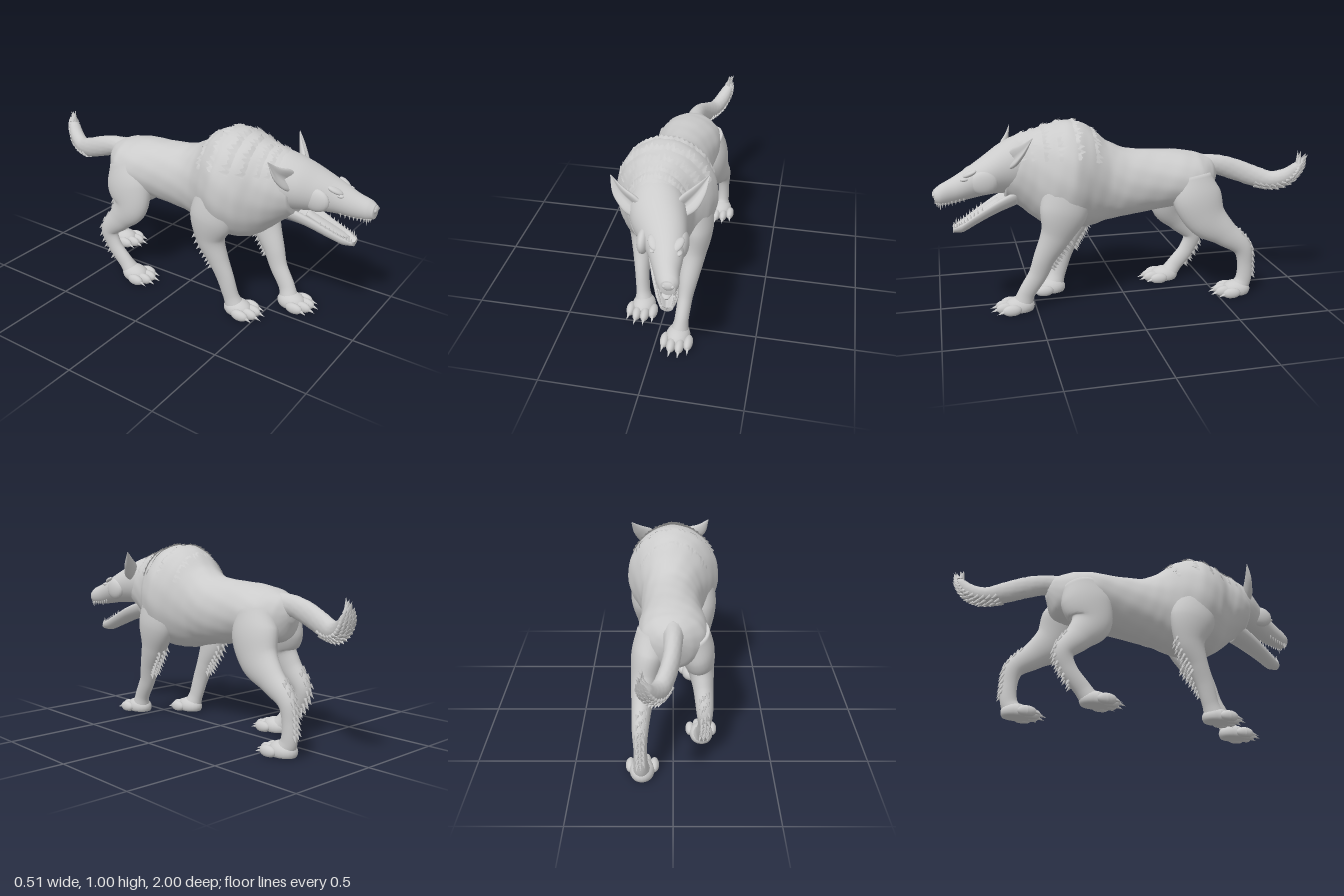
import * as THREE from 'three';

const V = (x, y, z) => new THREE.Vector3(x, y, z);
const X = V(1, 0, 0), Y = V(0, 1, 0), Z = V(0, 0, 1);
const mat = new THREE.MeshStandardMaterial({ color: 0xcccccc, side: THREE.DoubleSide });

// Surface evaluator through sections [x, y, z, halfWidth, halfHeight].
// up: direction of the height axis; dir: fixed section normal; trough: hollow upper half.
function limb(sections, up, { dir = null, trough = false, bump = 0 } = {}) {
  const path = new THREE.CatmullRomCurve3(sections.map(s => V(s[0], s[1], s[2])));
  const size = new THREE.CatmullRomCurve3(sections.map(s => V(s[3], s[4], 0)));
  return (t, a, scale = 1) => {
    const c = path.getPoint(t), r = size.getPoint(t);
    const n = dir ? dir.clone() : path.getTangent(t);
    const v = up.clone().addScaledVector(n, -up.dot(n)).normalize();
    const u = v.clone().cross(n);
    const cs = Math.cos(a), sn = Math.sin(a);
    const h = trough && sn > 0 ? 1.2 * sn * (Math.abs(cs) - 0.45) : sn;
    const k = scale * (1 + bump * Math.sin(a * 9 + t * 31) * Math.sin(t * 67 - a * 4));
    return c.addScaledVector(u, r.x * cs * k).addScaledVector(v, r.y * h * k);
  };
}

// Closed skin over an evaluator
function skin(f, rings = 40, sides = 32) {
  const pos = [], idx = [];
  for (let i = -1; i <= rings + 1; i++) {
    const t = Math.min(1, Math.max(0, i / rings));
    const s = i < 0 || i > rings ? 0 : 1;
    for (let j = 0; j < sides; j++) pos.push(...f(t, j / sides * Math.PI * 2, s).toArray());
  }
  for (let i = 0; i < rings + 2; i++) for (let j = 0; j < sides; j++) {
    const a = i * sides + j, b = i * sides + (j + 1) % sides;
    idx.push(a, b, b + sides, a, b + sides, a + sides);
  }
  const g = new THREE.BufferGeometry();
  g.setAttribute('position', new THREE.Float32BufferAttribute(pos, 3));
  g.setIndex(idx);
  g.computeVertexNormals();
  return g;
}

function add(parent, name, geometry) {
  const m = new THREE.Mesh(geometry, mat);
  m.name = name;
  parent.add(m);
  return m;
}

function ball(parent, name, p, r) {
  const m = add(parent, name, new THREE.SphereGeometry(1, 20, 14));
  m.position.set(...p);
  m.scale.set(...r);
  return m;
}

// Pointed spike used for teeth, claws and fur
function spike(parent, name, p, d, len, r) {
  const g = new THREE.ConeGeometry(r, len, 7);
  g.translate(0, len * 0.4, 0);
  const m = add(parent, name, g);
  m.position.copy(p);
  m.quaternion.setFromUnitVectors(Y, d.clone().normalize());
  return m;
}

function makePaw(name, x, z) {
  const paw = new THREE.Group();
  paw.name = name;
  paw.position.set(x, 0, z);
  const lump = (part, p, r) => {
    const g = new THREE.SphereGeometry(1, 20, 14);
    g.scale(...r).translate(...p);
    const a = g.attributes.position;
    for (let i = 0; i < a.count; i++) a.setY(i, Math.max(0, a.getY(i)));
    g.computeVertexNormals();
    add(paw, part, g);
  };
  lump('palm', [0, 0.025, 0], [0.062, 0.052, 0.08]);
  [-0.06, -0.021, 0.021, 0.06].forEach((tx, i) => {
    const tz = i % 3 ? 0.075 : 0.045;
    lump('toe', [tx, 0.024, tz], [0.024, 0.03, 0.05]);
    spike(paw, 'claw', V(tx * 1.05, 0.022, tz + 0.04), V(tx * 2, -0.3, 1), 0.045, 0.011);
  });
  return paw;
}

export function createModel() {
  const wolf = new THREE.Group();
  wolf.name = 'wolf';

  // Torso from rump to neck
  const torso = [
    [0, 0.67, -0.52, 0.03, 0.04], [0, 0.645, -0.48, 0.10, 0.11], [0, 0.645, -0.4, 0.165, 0.14],
    [0, 0.65, -0.3, 0.175, 0.152], [0.005, 0.645, -0.15, 0.16, 0.167], [0.01, 0.645, 0, 0.16, 0.184],
    [0.005, 0.66, 0.1, 0.17, 0.218], [0, 0.688, 0.2, 0.215, 0.272], [0, 0.70, 0.3, 0.255, 0.287],
    [0, 0.698, 0.4, 0.228, 0.273], [0, 0.71, 0.48, 0.172, 0.235], [0.005, 0.735, 0.56, 0.15, 0.19],
    [0.02, 0.745, 0.64, 0.125, 0.135]];
  const body = limb(torso, Y, { dir: Z, bump: 0.008 });
  add(wolf, 'body', skin(body, 90, 56));

  // Jagged rows of mane lying back over the shoulders
  [6.9, 7.9, 8.8, 9.6, 10.4, 11].forEach(row => {
    const n = 44, pos = [], idx = [];
    for (let j = 0; j <= n; j++) {
      const a = Math.PI * (0.14 + 0.72 * j / n);
      const tip = j % 2 ? 0.42 + 0.14 * Math.sin(j * 2.3 + row) : 0.22;
      pos.push(...body(row / 12, a, 0.985).toArray());
      pos.push(...body((row - tip) / 12, a, j % 2 ? 1.045 : 1.025).toArray());
      if (j < n) idx.push(2 * j, 2 * j + 2, 2 * j + 1, 2 * j + 1, 2 * j + 2, 2 * j + 3);
    }
    const g = new THREE.BufferGeometry();
    g.setAttribute('position', new THREE.Float32BufferAttribute(pos, 3));
    g.setIndex(idx);
    g.computeVertexNormals();
    add(wolf, 'maneRow', g);
  });

  // Head turned towards its left
  const head = new THREE.Group();
  head.name = 'head';
  wolf.add(head);
  const skull = limb([
    [0, 0.77, 0.48, 0.13, 0.16], [0.01, 0.77, 0.57, 0.14, 0.15], [0.035, 0.758, 0.66, 0.132, 0.125],
    [0.07, 0.735, 0.74, 0.108, 0.10], [0.1, 0.708, 0.82, 0.08, 0.08], [0.12, 0.68, 0.9, 0.06, 0.064],
    [0.138, 0.665, 0.96, 0.05, 0.052], [0.143, 0.66, 0.99, 0.034, 0.036]], Y, { dir: Z });
  add(head, 'skull', skin(skull, 50));
  const jaw = limb([
    [0.035, 0.635, 0.58, 0.085, 0.07], [0.065, 0.592, 0.69, 0.076, 0.06], [0.09, 0.54, 0.79, 0.062, 0.05],
    [0.112, 0.502, 0.86, 0.052, 0.042], [0.12, 0.483, 0.91, 0.03, 0.022]], Y, { dir: Z, trough: true });
  add(head, 'lowerJaw', skin(jaw));
  const tongue = limb([
    [0.06, 0.60, 0.67, 0.03, 0.015], [0.088, 0.545, 0.78, 0.032, 0.012],
    [0.108, 0.51, 0.85, 0.026, 0.01], [0.113, 0.5, 0.875, 0.01, 0.005]], Y);
  add(head, 'tongue', skin(tongue, 16, 16));

  ball(head, 'nose', [0.145, 0.672, 0.975], [0.034, 0.028, 0.025]);
  for (const s of [-1, 1]) {
    // Teeth, nostril, eye and brow on each side
    for (let i = 0; i < 10; i++) {
      const low = jaw(0.42 + i * 0.06, Math.PI / 2 - s * 0.95);
      spike(head, 'lowerTooth', low, Y, i === 8 ? 0.04 : 0.022, 0.006);
      const high = skull(0.62 + i * 0.036, -Math.PI / 2 + s * 0.75);
      spike(head, 'upperTooth', high, V(0, -1, 0), i === 7 ? 0.04 : 0.022, 0.006);
    }
    ball(head, 'nostril', [0.147 + s * 0.018, 0.672, 0.992], [0.009, 0.008, 0.007]);
    const e = Math.PI / 2 - s * 0.98;
    ball(head, 'eye', skull(0.61, e, 0.97).toArray(), [0.014, 0.009, 0.02]);
    const brow = ball(head, 'brow', skull(0.565, e + s * 0.2, 0.97).toArray(), [0.022, 0.013, 0.042]);
    brow.rotation.set(0.45, -s * 0.4, 0);
    ball(head, 'cheek', skull(0.44, Math.PI / 2 - s * 1.75, 0.85).toArray(), [0.03, 0.06, 0.07]);
  }
  // Cupped pointed ears
  const ears = {
    rightEar: [[-0.035, 0.785, 0.645, 0.04, 0.025], [-0.10, 0.825, 0.635, 0.052, 0.03],
      [-0.16, 0.87, 0.61, 0.036, 0.02], [-0.205, 0.938, 0.58, 0.002, 0.002]],
    leftEar: [[0.115, 0.805, 0.62, 0.04, 0.025], [0.16, 0.84, 0.595, 0.05, 0.03],
      [0.202, 0.885, 0.555, 0.034, 0.02], [0.24, 0.945, 0.51, 0.002, 0.002]]
  };
  for (const name in ears) add(head, name, skin(limb(ears[name], Z, { trough: true }), 24, 24));

  // Legs: sections from shoulder or hip to ankle, then the paw and fur along the back edge
  const legs = {
    frontLeftLeg: { paw: [0.11, 0.59], fur: [0.32, 0.56], path: [
      [0.13, 0.72, 0.33, 0.09, 0.12], [0.165, 0.55, 0.35, 0.078, 0.125], [0.152, 0.42, 0.39, 0.064, 0.085],
      [0.138, 0.3, 0.45, 0.05, 0.06], [0.128, 0.2, 0.49, 0.038, 0.05], [0.12, 0.1, 0.55, 0.036, 0.046],
      [0.112, 0.03, 0.575, 0.05, 0.055]] },
    frontRightLeg: { paw: [-0.115, 0.39], fur: [0.32, 0.56], path: [
      [-0.13, 0.72, 0.30, 0.09, 0.12], [-0.165, 0.55, 0.25, 0.078, 0.125], [-0.155, 0.42, 0.235, 0.062, 0.085],
      [-0.145, 0.3, 0.28, 0.048, 0.057], [-0.137, 0.2, 0.32, 0.038, 0.05], [-0.128, 0.1, 0.35, 0.036, 0.045],
      [-0.118, 0.03, 0.375, 0.05, 0.055]] },
    hindLeftLeg: { paw: [0.155, -0.61], fur: [0.48, 0.8], path: [
      [0.09, 0.67, -0.36, 0.09, 0.1], [0.12, 0.56, -0.38, 0.088, 0.135], [0.14, 0.45, -0.43, 0.07, 0.115],
      [0.153, 0.36, -0.53, 0.052, 0.075], [0.16, 0.27, -0.635, 0.04, 0.052], [0.16, 0.17, -0.655, 0.033, 0.042],
      [0.158, 0.08, -0.65, 0.036, 0.045], [0.155, 0.03, -0.625, 0.05, 0.05]] },
    hindRightLeg: { paw: [-0.15, -0.28], fur: [0.48, 0.8], path: [
      [-0.09, 0.67, -0.36, 0.09, 0.1], [-0.12, 0.56, -0.33, 0.088, 0.135], [-0.14, 0.45, -0.31, 0.07, 0.11],
      [-0.153, 0.36, -0.37, 0.052, 0.075], [-0.16, 0.26, -0.45, 0.042, 0.052], [-0.16, 0.17, -0.42, 0.033, 0.045],
      [-0.155, 0.08, -0.345, 0.036, 0.045], [-0.15, 0.03, -0.305, 0.05, 0.05]] }
  };
  for (const name in legs) {
    const { paw, fur, path } = legs[name];
    const leg = new THREE.Group();
    leg.name = name;
    wolf.add(leg);
    const f = limb(path, Z);
    add(leg, 'limb', skin(f, 48, 28));
    leg.add(makePaw('paw', ...paw));
    for (let i = 0; i < 24; i++) {
      const p = f(fur[0] + (fur[1] - fur[0]) * i / 23, -Math.PI / 2 + ((i % 3) - 1) * 0.4, 0.97);
      spike(leg, 'legFur', p, V(((i % 3) - 1) * 0.3, -0.8, -0.6), 0.035, 0.011);
    }
  }

  // Tail sweeping down, then up at the tip, with a shaggy underside and end
  const tail = new THREE.Group();
  tail.name = 'tail';
  wolf.add(tail);
  const brush = limb([
    [0, 0.71, -0.43, 0.055, 0.06], [0, 0.705, -0.53, 0.045, 0.055], [0.008, 0.672, -0.64, 0.042, 0.058],
    [0.03, 0.636, -0.74, 0.042, 0.056], [0.062, 0.618, -0.83, 0.042, 0.047], [0.096, 0.645, -0.905, 0.04, 0.042],
    [0.122, 0.695, -0.95, 0.033, 0.03], [0.135, 0.735, -0.967, 0.012, 0.012]], Y, { bump: 0.03 });
  add(tail, 'tailCore', skin(brush, 50, 28));
  for (let i = 0; i < 60; i++) {
    const t = 0.45 + 0.5 * i / 59;
    const p = brush(t, -Math.PI / 2 + ((i % 5) - 2) * 0.5, 0.93);
    spike(tail, 'tailFur', p, V(0.3, -0.45 + Math.max(0, t - 0.6) * 5, -0.8), 0.042, 0.014);
  }
  for (let i = 0; i < 6; i++) {
    const a = i * Math.PI / 3;
    spike(tail, 'tailTip', brush(0.96, a, 0.7), V(0.2 + 0.4 * Math.cos(a), 1, -0.2 + 0.3 * Math.sin(a)), 0.07, 0.014);
  }
  return wolf;
}
